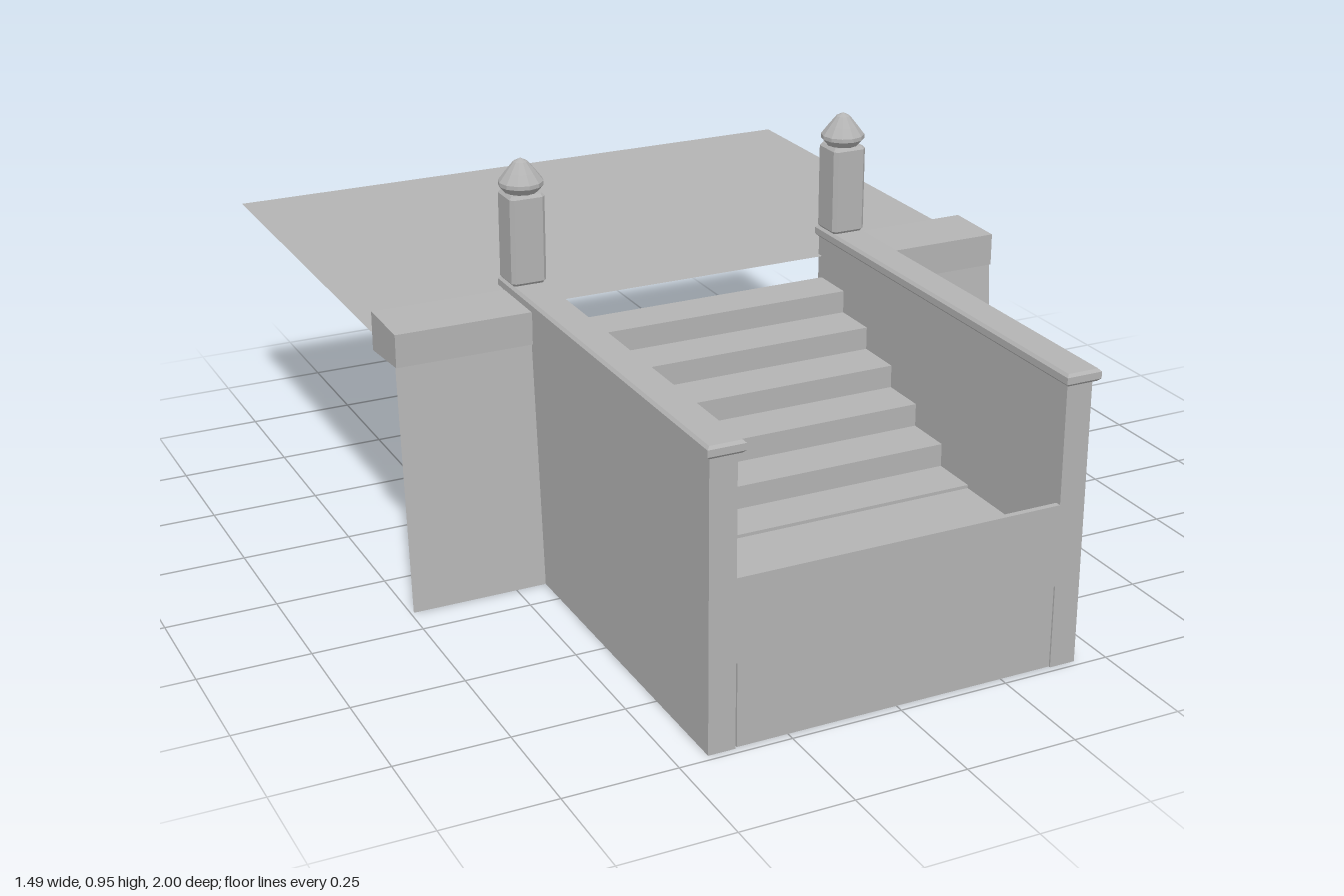
import * as THREE from 'three';

export function createModel() {
  const group = new THREE.Group();
  const stone = new THREE.MeshStandardMaterial({ color: 0xb3b3b3, flatShading: true });
  stone.name = 'grey stone';
  const sheet = new THREE.MeshStandardMaterial({ color: 0xb3b3b3, side: THREE.DoubleSide });
  sheet.name = 'grey sheet';

  const add = (name, geometry, material = stone) => {
    const mesh = new THREE.Mesh(geometry, material);
    mesh.name = name;
    group.add(mesh);
    return mesh;
  };
  // Box given by its lower and upper limits
  const box = (name, x0, x1, y0, y1, z0, z1) =>
    add(name, new THREE.BoxGeometry(x1 - x0, y1 - y0, z1 - z0))
      .position.set((x0 + x1) / 2, (y0 + y1) / 2, (z0 + z1) / 2);
  // Side profile of [z, y] points, extruded along x from x0 to x1
  const profile = (name, points, x0, x1) => {
    const shape = new THREE.Shape(points.map(([z, y]) => new THREE.Vector2(-z, y)));
    const g = new THREE.ExtrudeGeometry(shape, { depth: x1 - x0, bevelEnabled: false });
    g.rotateY(Math.PI / 2).translate(x0, 0, 0);
    return add(name, g);
  };
  // Box with chamfered edges, centred on the origin
  const chamferBox = (w, h, d, c) => {
    const a = w / 2 - c, b = d / 2 - c;
    const shape = new THREE.Shape([[-a, -b], [a, -b], [a, b], [-a, b]].map(p => new THREE.Vector2(...p)));
    const g = new THREE.ExtrudeGeometry(shape, {
      depth: h - 2 * c, bevelThickness: c, bevelSize: c, bevelSegments: 1,
    });
    return g.rotateX(-Math.PI / 2).translate(0, -h / 2 + c, 0);
  };

  // Staircase: six treads falling towards the front
  const steps = [[-0.02, 0], [-0.02, 0.54]];
  const edges = [0.085, 0.195, 0.309, 0.419, 0.532, 0.643];
  edges.forEach((z, i) => {
    const y = 0.54 - i * 0.0525;
    steps.push([z, y], [z, i < 5 ? y - 0.0525 : 0]);
  });
  profile('staircase', steps, -0.37, 0.37);

  // Landing and the low wall closing the front
  box('landing', -0.37, 0.37, 0.003, 0.27, 0.643, 0.972);
  box('frontWallBase', -0.367, 0.367, 0.003, 0.19, 0.972, 0.985);
  box('frontWall', -0.37, 0.37, 0.19, 0.375, 0.972, 0.985);

  // Newel finial turned around the post axis
  const finial = [[0, 0.868], [0.036, 0.872], [0.05, 0.888], [0.05, 0.897], [0.034, 0.918], [0.016, 0.94], [0, 0.948]]
    .map(p => new THREE.Vector2(...p));

  for (const [side, s] of [['left', 1], ['right', -1]]) {
    const span = (a, b) => (s > 0 ? [a, b] : [-b, -a]);
    box(side + 'SideWall', ...span(0.37, 0.43), 0, 0.642, -0.037, 0.985);
    add(side + 'Coping', chamferBox(0.082, 0.027, 1.037, 0.006)).position.set(s * 0.4, 0.6545, 0.4815);

    // Gate post with chamfered corners and finial
    const post = new THREE.Shape();
    const h = 0.041, c = 0.008;
    [[-h + c, -h], [h - c, -h], [h, -h + c], [h, h - c], [h - c, h], [-h + c, h], [-h, h - c], [-h, -h + c]]
      .forEach(([x, y], i) => (i ? post.lineTo(x, y) : post.moveTo(x, y)));
    const postGeo = new THREE.ExtrudeGeometry(post, {
      depth: 0.192, bevelThickness: 0.007, bevelSize: 0.006, bevelOffset: -0.006, bevelSegments: 1,
    }).rotateX(-Math.PI / 2).translate(0, 0.674, 0);
    add(side + 'Post', postGeo).position.set(s * 0.4, 0, 0.01);
    add(side + 'Finial', new THREE.LatheGeometry(finial, 12)).position.set(s * 0.4, 0, 0.01);

    // Ledge beside the stairs, with the sloping retaining panel below
    profile(side + 'Ledge', [[-0.02, 0.55], [-0.02, 0.64], [0.13, 0.637], [0.13, 0.562]], ...span(0.43, 0.743));
    const panel = add(side + 'RetainingPanel', new THREE.PlaneGeometry(0.313, 0.562), sheet);
    panel.position.set(s * 0.5865, 0.28, 0.148);
    panel.rotation.x = -Math.atan2(0.048, 0.56);
  }

  // Flat ground sheet behind the stairs, meeting the ledges below their tops
  const ground = add('upperGround', new THREE.PlaneGeometry(1.49, 0.98).rotateX(-Math.PI / 2), sheet);
  ground.position.set(0, 0.593, -0.51);

  return group;
}
